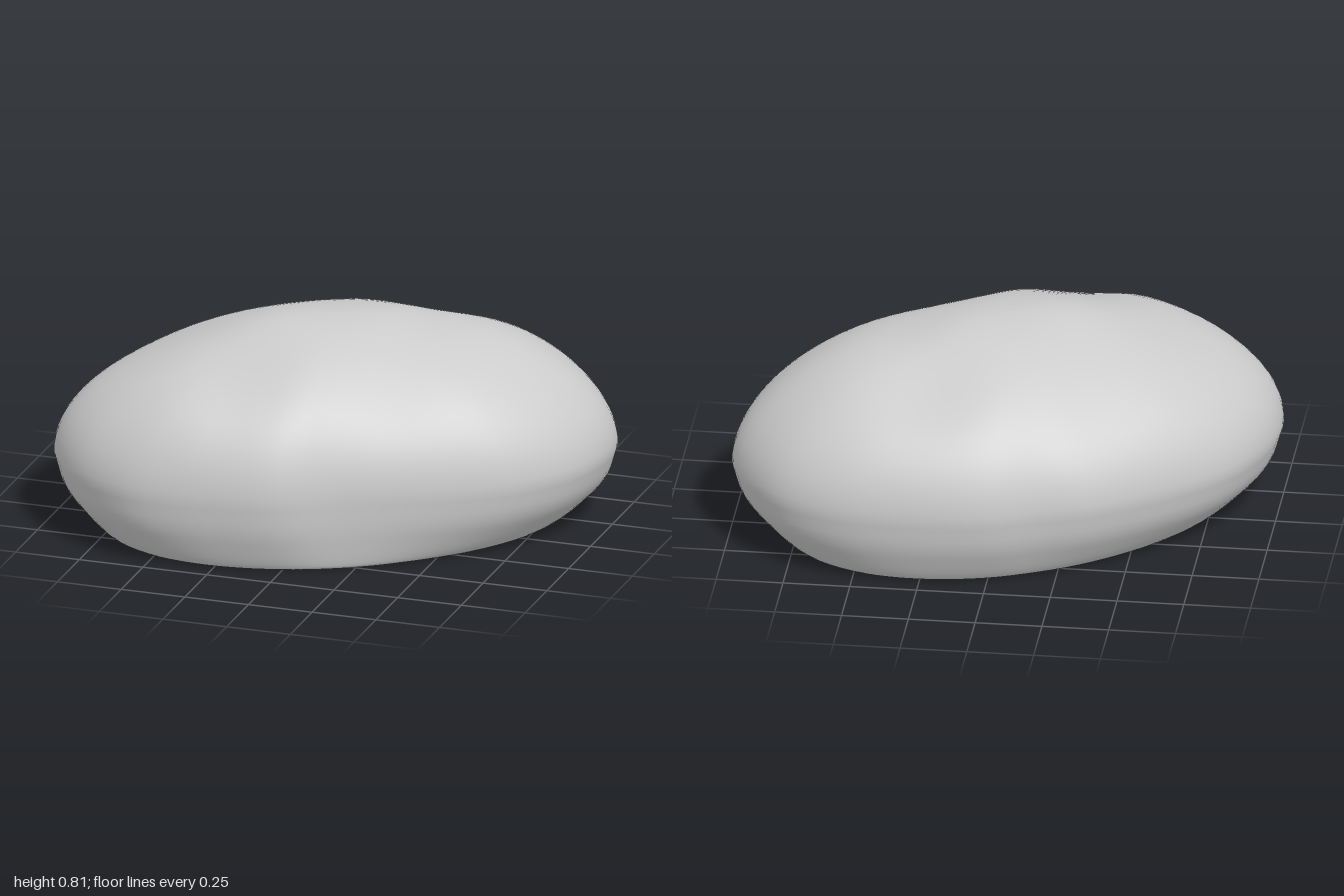
import * as THREE from 'three';

// Plan outline of the boulder at its widest level (x, z), waist included
const OUTLINE = [
  [1, -0.25], [0.95, 0], [0.79, 0.23], [0.58, 0.38], [0.35, 0.5], [0.19, 0.58], [0, 0.7],
  [-0.27, 0.75], [-0.43, 0.76], [-0.58, 0.745], [-0.8, 0.63], [-0.97, 0.4], [-1, 0.2],
  [-0.96, 0], [-0.86, -0.2], [-0.66, -0.4], [-0.37, -0.6], [-0.2, -0.66], [0, -0.74],
  [0.33, -0.765], [0.6, -0.73], [0.8, -0.63], [0.97, -0.4],
];
// Oval footprint: half length, half width, turn in plan
const FOOT = { a: 0.82, b: 0.55, turn: -0.61 };
// Underside from footprint (0) to widest level (1): share, height
const UNDERSIDE = [[0, 0], [0.25, 0.015], [0.6, 0.09], [0.88, 0.18], [1, 0.28]];
// Swellings and hollows on the upper surface: x, z, height, spread
const BUMPS = [
  [0.6, -0.25, 0.025, 0.22], [-0.4, 0.7, 0.035, 0.12], [-0.68, 0.2, -0.03, 0.2],
  [-0.25, 0.45, -0.035, 0.15], [0.35, 0.42, -0.05, 0.15], [-0.38, -0.52, -0.035, 0.17],
  [0.25, -0.5, -0.04, 0.14], [0.36, -0.12, -0.015, 0.12],
  [-0.22, 0.08, 0.015, 0.12], [0.18, -0.1, 0.01, 0.1],
];
const SEGMENTS = 96;
const WAIST = 0.28;
const DOME = 0.523;

// Point of the footprint in the same direction as p
function footPoint(p) {
  const angle = Math.atan2(p.z, p.x) - FOOT.turn;
  const r = FOOT.a * FOOT.b / Math.hypot(FOOT.b * Math.cos(angle), FOOT.a * Math.sin(angle));
  return p.clone().setLength(r);
}

function bumpHeight(x, z) {
  return BUMPS.reduce((sum, [bx, bz, h, w]) =>
    sum + h * Math.exp(-((x - bx) ** 2 + (z - bz) ** 2) / (2 * w * w)), 0);
}

// Closed rings of points from the footprint up to the crown
function buildRings(outline, foot) {
  const under = new THREE.CatmullRomCurve3(
    UNDERSIDE.map(([share, y]) => new THREE.Vector3(share, y, 0)));
  const rings = under.getPoints(16).map(({ x: share, y }) =>
    outline.map((p, i) => foot[i].clone().lerp(p, share).setY(y)));
  for (let k = 1; k <= 28; k++) {
    const angle = (k / 28) * Math.PI / 2;
    const s = Math.cos(angle), rise = Math.sin(angle);
    rings.push(outline.map((p, i) => {
      // The waist fades into an even oval towards the crown
      const q = p.clone().lerp(foot[i].clone().multiplyScalar(1.26), 1 - s).multiplyScalar(s);
      return q.setY(WAIST + rise * (DOME + bumpHeight(q.x, q.z)));
    }));
  }
  return rings;
}

function loft(rings) {
  const indices = [];
  for (let r = 1; r < rings.length; r++) {
    const a = (r - 1) * SEGMENTS, b = r * SEGMENTS;
    for (let i = 0; i < SEGMENTS; i++) {
      const j = (i + 1) % SEGMENTS;
      indices.push(a + i, b + i, a + j);
      // The last ring closes to a point
      if (r < rings.length - 1) indices.push(a + j, b + i, b + j);
    }
  }
  const geometry = new THREE.BufferGeometry().setFromPoints(rings.flat());
  geometry.setIndex(indices);
  geometry.computeVertexNormals();
  return geometry;
}

export function createModel() {
  const model = new THREE.Group();
  model.name = 'boulder';
  const material = new THREE.MeshStandardMaterial({ color: 0xcccccc });

  const curve = new THREE.CatmullRomCurve3(
    OUTLINE.map(([x, z]) => new THREE.Vector3(x, 0, z)), true);
  const outline = curve.getSpacedPoints(SEGMENTS).slice(0, SEGMENTS);
  const foot = outline.map(footPoint);

  // Rounded body
  const body = new THREE.Mesh(loft(buildRings(outline, foot)), material);
  body.name = 'stoneBody';
  model.add(body);

  // Flat base, facing down
  const shape = new THREE.Shape(foot.map((p) => new THREE.Vector2(p.x, p.z)));
  const base = new THREE.Mesh(new THREE.ShapeGeometry(shape).rotateX(Math.PI / 2), material);
  base.name = 'flatBase';
  model.add(base);

  return model;
}
